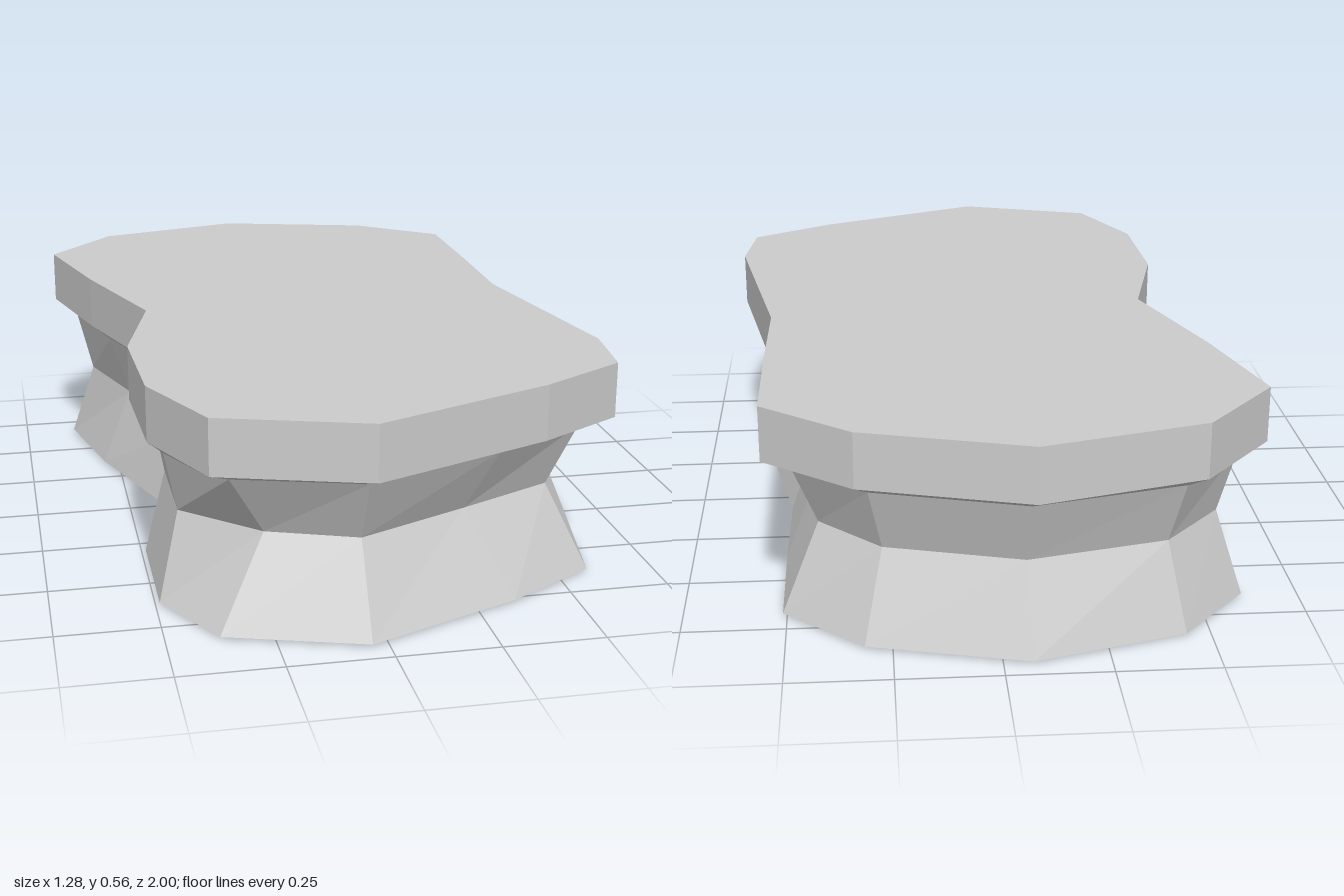
import * as THREE from 'three';

// Outlines as x, z pairs, running from the back round by +x
const RIM = [-0.07, -1, 0.33, -0.89, 0.545, -0.72, 0.545, -0.4, 0.54, -0.09, 0.64, 0.48, 0.615, 0.68, 0.4, 0.81,
  -0.045, 1, -0.4, 0.89, -0.51, 0.64, -0.52, 0.32, -0.44, 0, -0.56, -0.36, -0.645, -0.68, -0.465, -0.89];
const NECK = [-0.065, -0.92, 0.3, -0.82, 0.48, -0.66, 0.48, -0.38, 0.48, -0.08, 0.58, 0.45, 0.55, 0.61, 0.31, 0.75,
  -0.04, 0.9, -0.345, 0.81, -0.47, 0.61, -0.465, 0.3, -0.38, 0, -0.51, -0.36, -0.585, -0.64, -0.43, -0.83];
const WAIST = [-0.06, -0.86, 0.27, -0.77, 0.42, -0.62, 0.43, -0.36, 0.43, -0.08, 0.54, 0.39, 0.485, 0.57, 0.24, 0.69,
  -0.04, 0.82, -0.255, 0.74, -0.435, 0.57, -0.435, 0.3, -0.34, 0, -0.46, -0.36, -0.545, -0.62, -0.4, -0.78];
const FOOT = [-0.07, -0.955, 0.315, -0.86, 0.51, -0.685, 0.51, -0.38, 0.505, -0.08, 0.61, 0.46, 0.58, 0.64, 0.35, 0.78,
  -0.04, 0.945, -0.375, 0.84, -0.49, 0.63, -0.49, 0.31, -0.41, 0, -0.54, -0.36, -0.61, -0.66, -0.44, -0.85];

// Joins [height, outline] rings from the bottom up, with optional fan caps
function loft(name, rings, bottomY, topY) {
  const pos = [];
  const n = RIM.length / 2;
  const at = ([y, o], i) => [o[(i % n) * 2], y, o[(i % n) * 2 + 1]];
  const tri = (...corners) => corners.forEach((c) => pos.push(...c));
  const last = rings[rings.length - 1];
  for (let i = 0; i < n; i++) {
    for (let r = 0; r < rings.length - 1; r++) {
      const a = at(rings[r], i), b = at(rings[r], i + 1);
      const c = at(rings[r + 1], i), d = at(rings[r + 1], i + 1);
      tri(a, c, b);
      tri(b, c, d);
    }
    if (bottomY !== null) tri([0, bottomY, 0], at(rings[0], i), at(rings[0], i + 1));
    if (topY !== null) tri([0, topY, 0], at(last, i + 1), at(last, i));
  }
  const geometry = new THREE.BufferGeometry();
  geometry.setAttribute('position', new THREE.Float32BufferAttribute(pos, 3));
  geometry.computeVertexNormals();
  const mesh = new THREE.Mesh(geometry, new THREE.MeshStandardMaterial({ color: 0xcccccc, flatShading: true }));
  mesh.name = name;
  return mesh;
}

export function createModel() {
  const model = new THREE.Group();
  model.name = 'stonePlinth';
  // Pinched pedestal with a flat underside
  model.add(loft('pedestal', [[0.007, FOOT], [0.218, WAIST], [0.38, NECK]], 0, null));
  // Overhanging slab with a bevelled lower edge
  model.add(loft('topSlab', [[0.38, NECK], [0.42, RIM], [0.557, RIM]], null, 0.557));
  return model;
}
